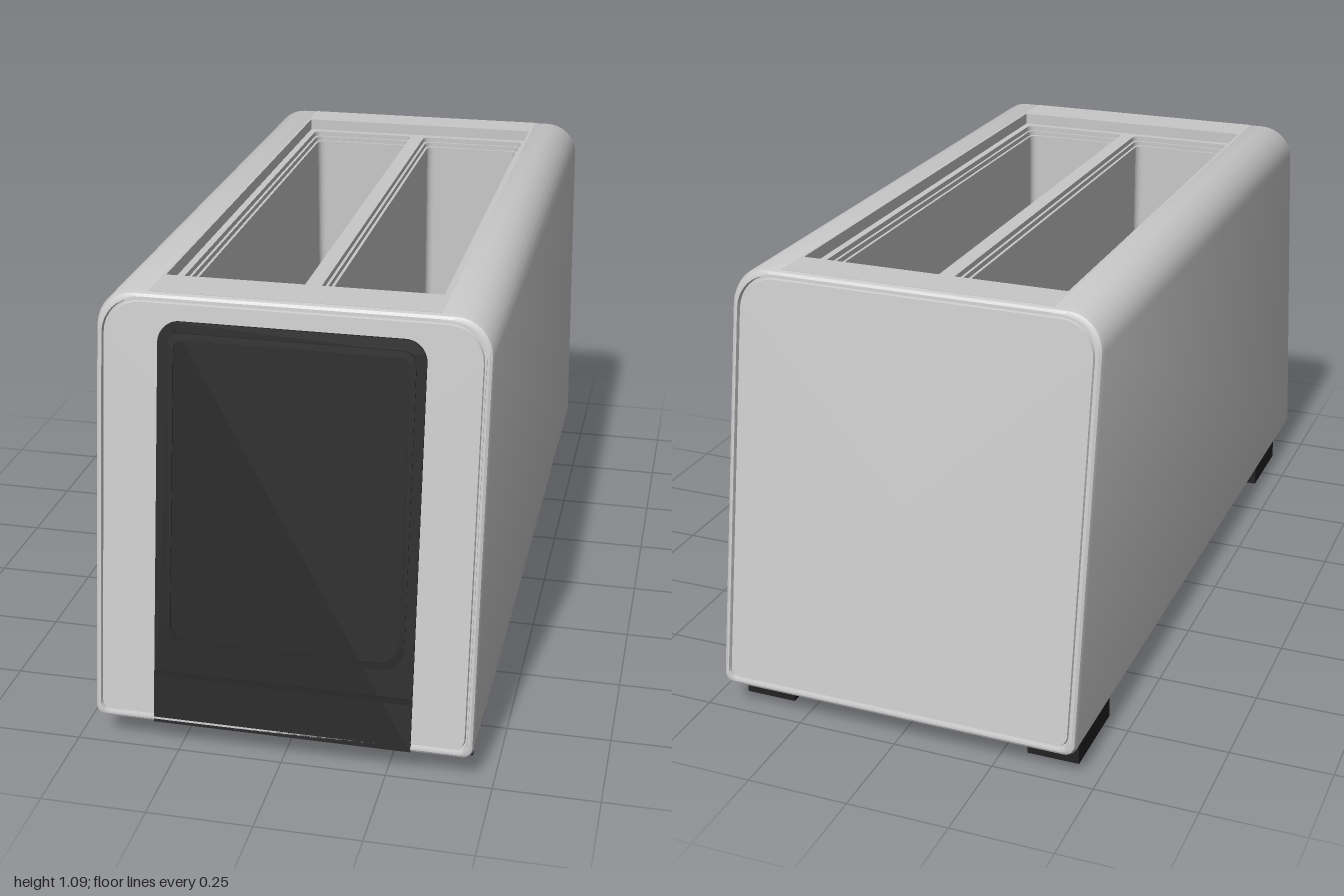
import * as THREE from 'three';
import { toCreasedNormals } from 'three/addons/utils/BufferGeometryUtils.js';

const HALF_W = 0.455, BOTTOM = 0.07, TOP = 1.085;
const MID_Y = (BOTTOM + TOP) / 2, HALF_H = (TOP - BOTTOM) / 2;

// the end faces lean inwards towards the top
const endZ = (y) => 1 - (y - 0.085) * 0.175;

// rectangle with separate bottom and top corner radii
function roundRect(x0, y0, x1, y1, rb, rt = rb, Type = THREE.Shape) {
  const s = new Type();
  s.moveTo(x0 + rb, y0);
  s.lineTo(x1 - rb, y0);
  s.absarc(x1 - rb, y0 + rb, rb, -Math.PI / 2, 0);
  s.lineTo(x1, y1 - rt);
  s.absarc(x1 - rt, y1 - rt, rt, 0, Math.PI / 2);
  s.lineTo(x0 + rt, y1);
  s.absarc(x0 + rt, y1 - rt, rt, Math.PI / 2, Math.PI);
  s.lineTo(x0, y0 + rb);
  s.absarc(x0 + rb, y0 + rb, rb, Math.PI, Math.PI * 1.5);
  return s;
}

// closed cross-section, with two extra points where the top opening starts
function outline() {
  const arc = (cx, cy, r, a) => Array.from({ length: 9 }, (_, i) => {
    const t = a + (i / 8) * Math.PI / 2;
    return [cx + r * Math.cos(t), cy + r * Math.sin(t)];
  });
  const rt = 0.085, rb = 0.025;
  return [
    ...arc(HALF_W - rb, BOTTOM + rb, rb, -Math.PI / 2),
    ...arc(HALF_W - rt, TOP - rt, rt, 0),
    [0.335, TOP], [-0.335, TOP],
    ...arc(-HALF_W + rt, TOP - rt, rt, Math.PI / 2),
    ...arc(-HALF_W + rb, BOTTOM + rb, rb, Math.PI),
  ];
}

// shell lofted through rings of [inset, distance from the end plane]
function shellGeometry() {
  const pts = outline(), n = pts.length, openSide = 18;
  const rim = [[0, -0.016], [0.004, -0.004], [0.01, 0], [0.015, 0],
    [0.017, -0.01], [0.021, -0.01], [0.023, -0.004]];
  const ring = (side) => ([inset, dz]) => pts.map(([x, y]) => {
    const py = MID_Y + (y - MID_Y) * (1 - inset / HALF_H);
    return [x * (1 - inset / HALF_W), py, side * (endZ(py) + dz)];
  });
  const rings = [...rim.slice().reverse().map(ring(-1)), ...rim.map(ring(1))];
  const pos = [];
  const tri = (...corners) => corners.forEach((c) => pos.push(...c));
  for (let r = 0; r < rings.length - 1; r++) {
    for (let i = 0; i < n; i++) {
      if (r === rim.length - 1 && i === openSide) continue;
      const j = (i + 1) % n;
      const a = rings[r][i], b = rings[r][j], c = rings[r + 1][j], d = rings[r + 1][i];
      tri(a, b, c);
      tri(a, c, d);
    }
  }
  // flat end panels
  const first = rings[0], last = rings[rings.length - 1];
  const hub = endZ(MID_Y) - 0.004;
  for (let i = 0; i < n; i++) {
    const j = (i + 1) % n;
    tri([0, MID_Y, hub], last[i], last[j]);
    tri([0, MID_Y, -hub], first[j], first[i]);
  }
  const g = new THREE.BufferGeometry();
  g.setAttribute('position', new THREE.Float32BufferAttribute(pos, 3));
  return toCreasedNormals(g, 0.5);
}

// horizontal slab with holes between two heights
function slab(shape, y0, y1) {
  const g = new THREE.ExtrudeGeometry(shape, { depth: y1 - y0, bevelEnabled: false, curveSegments: 5 });
  return g.rotateX(-Math.PI / 2).translate(0, y0, 0);
}

// thin plate laid on the leaning front
function frontPlate(shape, z0, z1) {
  const g = new THREE.ExtrudeGeometry(shape, { depth: z1 - z0, bevelEnabled: false, curveSegments: 8 });
  const p = g.attributes.position;
  for (let i = 0; i < p.count; i++) p.setZ(i, p.getZ(i) + z0 + endZ(p.getY(i)));
  g.computeVertexNormals();
  return g;
}

export function createModel() {
  const model = new THREE.Group();
  model.name = 'toaster';
  const steel = new THREE.MeshStandardMaterial({ color: 0xc8c8c8 });
  steel.name = 'light grey';
  const black = new THREE.MeshStandardMaterial({ color: 0x222222 });
  black.name = 'black';
  const add = (name, geometry, material) => {
    const m = new THREE.Mesh(geometry, material);
    m.name = name;
    model.add(m);
    return m;
  };

  add('bodyShell', shellGeometry(), steel);

  // top frame around the sunken opening
  const frame = roundRect(-0.335, -0.812, 0.335, 0.812, 0.001);
  frame.holes.push(roundRect(-0.328, -0.7, 0.328, 0.714, 0.004, 0.004, THREE.Path));
  add('topFrame', slab(frame, 1.04, TOP), steel);

  // sunken plate and the wells below it, each pierced by two slots
  const slotted = (inset, y0, y1) => {
    const s = roundRect(-0.334, -0.712, 0.334, 0.722, 0.001);
    for (const side of [-1, 1]) {
      const c = side * 0.165, h = 0.145 - inset;
      s.holes.push(roundRect(c - h, -0.68 + inset, c + h, 0.694 - inset, 0.02, 0.02, THREE.Path));
    }
    return slab(s, y0, y1);
  };
  add('slotPlate', slotted(0, 1.042, 1.055), steel);
  add('slotLip', slotted(0.007, 1.03, 1.042), steel);
  add('slotWells', slotted(0.014, 0.25, 1.03), steel);
  const floor = add('slotFloor', new THREE.BoxGeometry(0.66, 0.02, 1.42), steel);
  floor.position.set(0, 0.245, -0.005);

  // black front panel with a framed field and a lower seam
  add('frontPanel', frontPlate(roundRect(-0.308, 0.073, 0.308, 1.025, 0.001, 0.05), -0.012, 0), black);
  const border = roundRect(-0.285, 0.265, 0.285, 1.0, 0.055, 0.03);
  border.holes.push(roundRect(-0.27, 0.28, 0.27, 0.985, 0.045, 0.02, THREE.Path));
  add('frontPanelBorder', frontPlate(border, -0.002, 0.003), black);
  add('frontPanelSeam', frontPlate(roundRect(-0.308, 0.188, 0.308, 0.2, 0.001), -0.002, 0.003), black);

  // feet
  for (const x of [-0.372, 0.372]) {
    for (const [name, z] of [['frontFoot', 0.772], ['backFoot', -0.812]]) {
      const foot = add(name, new THREE.BoxGeometry(0.129, 0.08, 0.215), black);
      foot.position.set(x, 0.04, z);
    }
  }
  return model;
}
